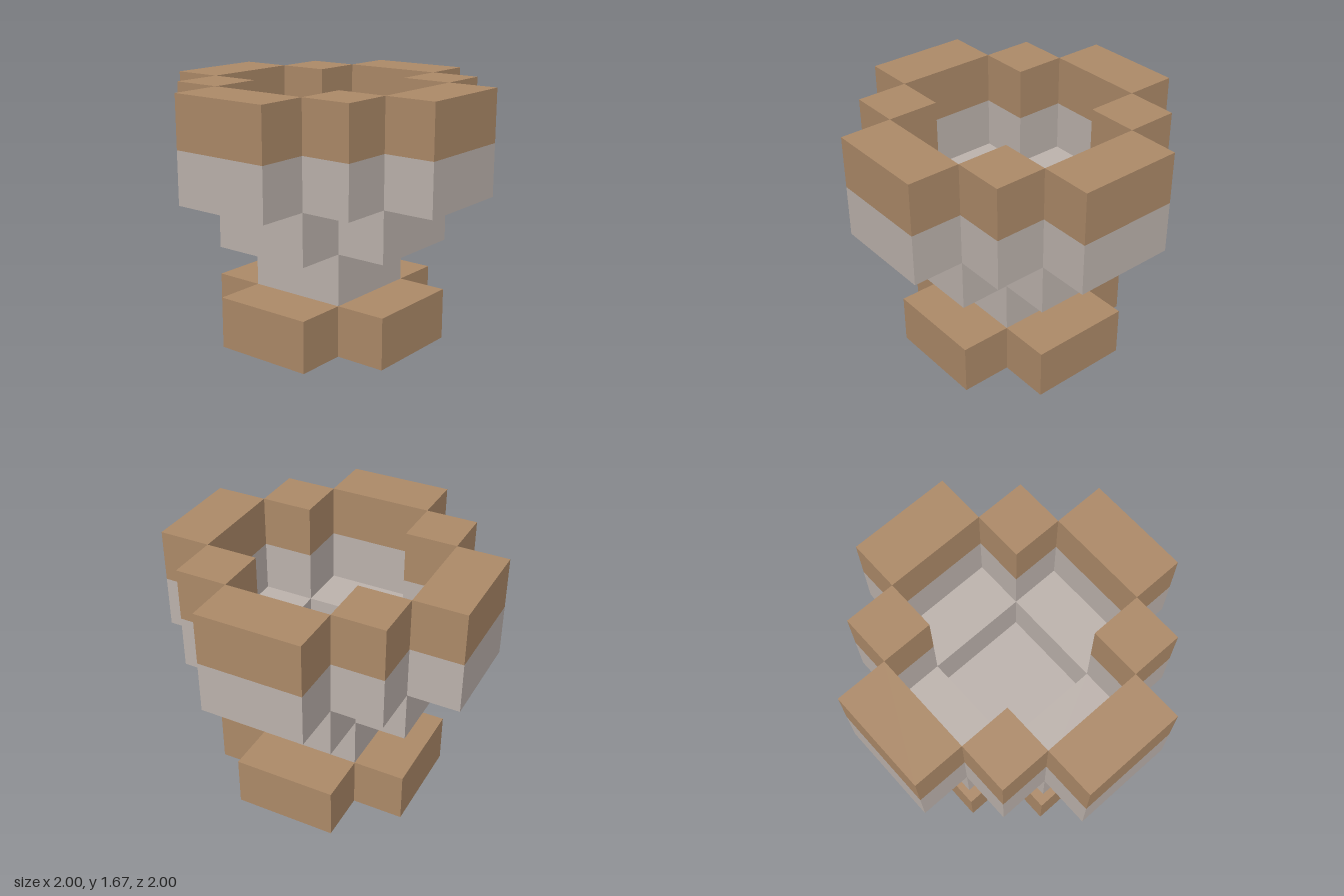
import * as THREE from 'three';

const U = 1 / 3; // one block layer

export function createModel() {
  const model = new THREE.Group();
  const bronze = new THREE.MeshStandardMaterial({ color: 0xae8b69 });
  bronze.name = 'warm brown';
  const stone = new THREE.MeshStandardMaterial({ color: 0xbeb4ae });
  stone.name = 'pale grey';

  // Box with its size, centre and bottom given in block units
  function block(parent, name, material, [w, h, d], [x, y, z]) {
    const mesh = new THREE.Mesh(new THREE.BoxGeometry(w * U, h * U, d * U), material);
    mesh.name = name;
    mesh.position.set(x * U, (y + h / 2) * U, z * U);
    parent.add(mesh);
  }

  function group(name) {
    const g = new THREE.Group();
    g.name = name;
    model.add(g);
    return g;
  }

  // Cross-shaped foot
  const cross = new THREE.Shape(
    [[-1, -2], [1, -2], [1, -1], [2, -1], [2, 1], [1, 1], [1, 2], [-1, 2], [-1, 1], [-2, 1], [-2, -1], [-1, -1]]
      .map(([x, y]) => new THREE.Vector2(x * U, y * U)));
  const footGeometry = new THREE.ExtrudeGeometry(cross, { depth: U, bevelEnabled: false });
  footGeometry.rotateX(-Math.PI / 2);
  const foot = new THREE.Mesh(footGeometry, bronze);
  foot.name = 'foot';
  model.add(foot);

  // Square stem, its top is the floor of the bowl
  block(model, 'stem', stone, [2, 1, 2], [0, 1, 0]);

  // Four blocks around the well of the bowl, and four wider ones for the rim
  const bowl = group('bowl');
  const rim = group('rim');
  for (const s of [-1, 1]) {
    block(bowl, 'bowlSide', stone, [1, 1, 2], [s * 1.5, 2, 0]);
    block(bowl, 'bowlSide', stone, [2, 1, 1], [0, 2, s * 1.5]);
    // Rim layers: grey below, brown above
    for (const [y, material, name] of [[3, stone, 'lowerRim'], [4, bronze, 'upperRim']]) {
      block(rim, name + 'Side', material, [1, 1, 2], [s * 2.5, y, 0]);
      block(rim, name + 'Side', material, [2, 1, 1], [0, y, s * 2.5]);
      for (const t of [-1, 1]) {
        block(rim, name + 'Corner', material, [1, 1, 1], [s * 1.5, y, t * 1.5]);
      }
    }
  }
  return model;
}
